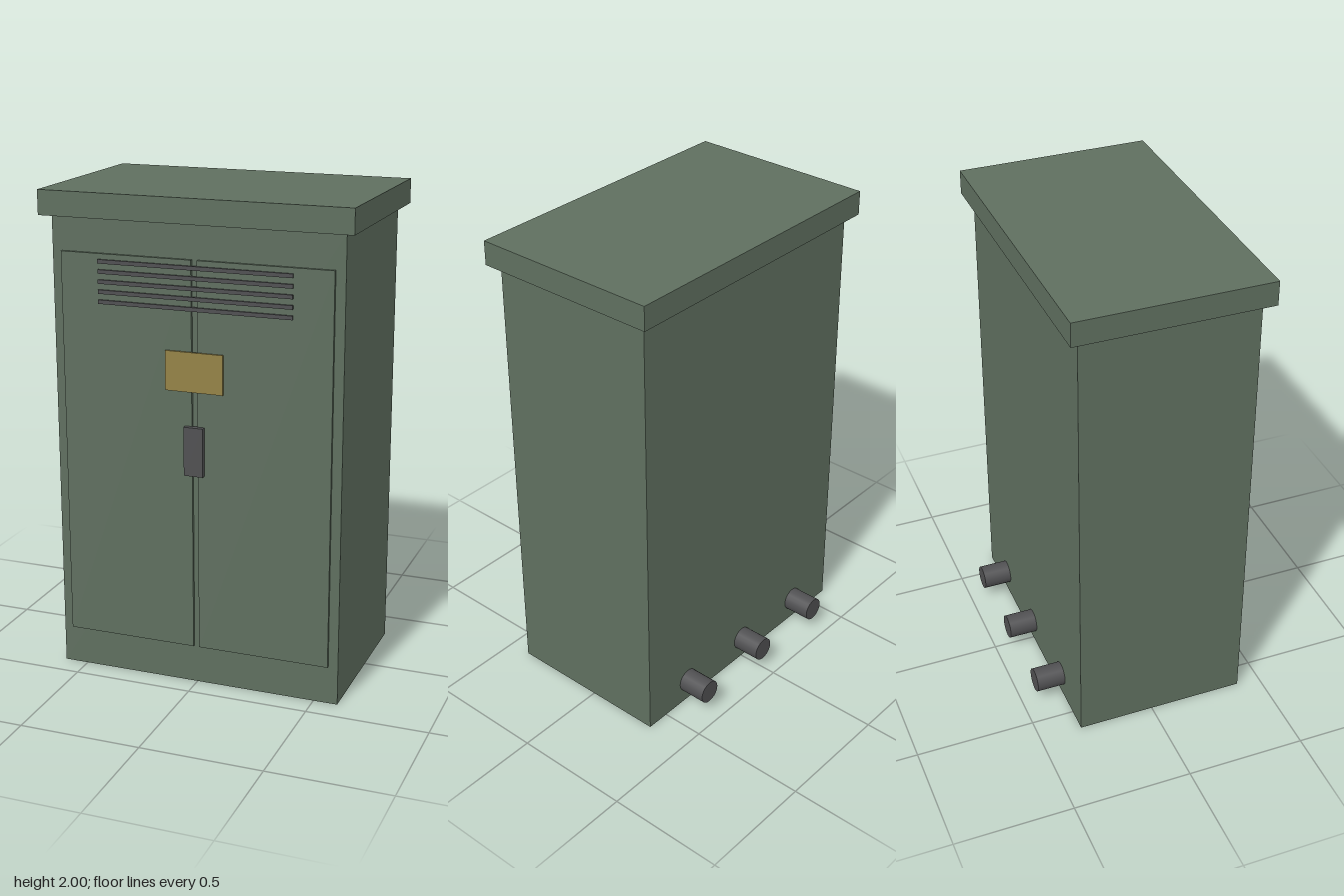
import * as THREE from 'three';

const material = (name, color) => {
  const m = new THREE.MeshStandardMaterial({ color });
  m.name = name;
  return m;
};

export function createModel() {
  const group = new THREE.Group();
  group.name = 'utilityCabinet';
  const green = material('cabinetGreen', 0x5f6f5f);
  const dark = material('darkGrey', 0x505052);
  const yellow = material('signYellow', 0x948347);

  // Box given by its lower and upper corners
  const box = (name, mat, [x0, y0, z0], [x1, y1, z1]) => {
    const mesh = new THREE.Mesh(new THREE.BoxGeometry(x1 - x0, y1 - y0, z1 - z0), mat);
    mesh.position.set((x0 + x1) / 2, (y0 + y1) / 2, (z0 + z1) / 2);
    mesh.name = name;
    group.add(mesh);
  };

  // Housing and overhanging roof
  box('body', green, [-0.6, 0, -0.32], [0.6, 1.9, 0.4]);
  box('roof', green, [-0.64, 1.9, -0.36], [0.64, 2, 0.44]);

  // Pair of doors with a narrow gap
  box('rightDoor', green, [-0.56, 0.16, 0.4], [-0.012, 1.76, 0.412]);
  box('leftDoor', green, [0.012, 0.16, 0.4], [0.56, 1.76, 0.412]);

  // Vent slats
  for (let i = 0; i < 5; i++) {
    const y = 1.57 + i * 0.04;
    box('ventSlat', dark, [-0.4, y - 0.008, 0.408], [0.4, y + 0.008, 0.42]);
  }

  // Warning plate and handle
  box('warningPlate', yellow, [-0.12, 1.24, 0.412], [0.12, 1.4, 0.42]);
  box('handle', dark, [-0.04, 0.9, 0.408], [0.04, 1.1, 0.432]);

  // Cable stubs at the back
  for (const x of [-0.36, 0, 0.36]) {
    const stub = new THREE.Mesh(new THREE.CylinderGeometry(0.05, 0.05, 0.14, 20), dark);
    stub.rotation.x = Math.PI / 2;
    stub.position.set(x, 0.1, -0.37);
    stub.name = 'cableStub';
    group.add(stub);
  }
  return group;
}
